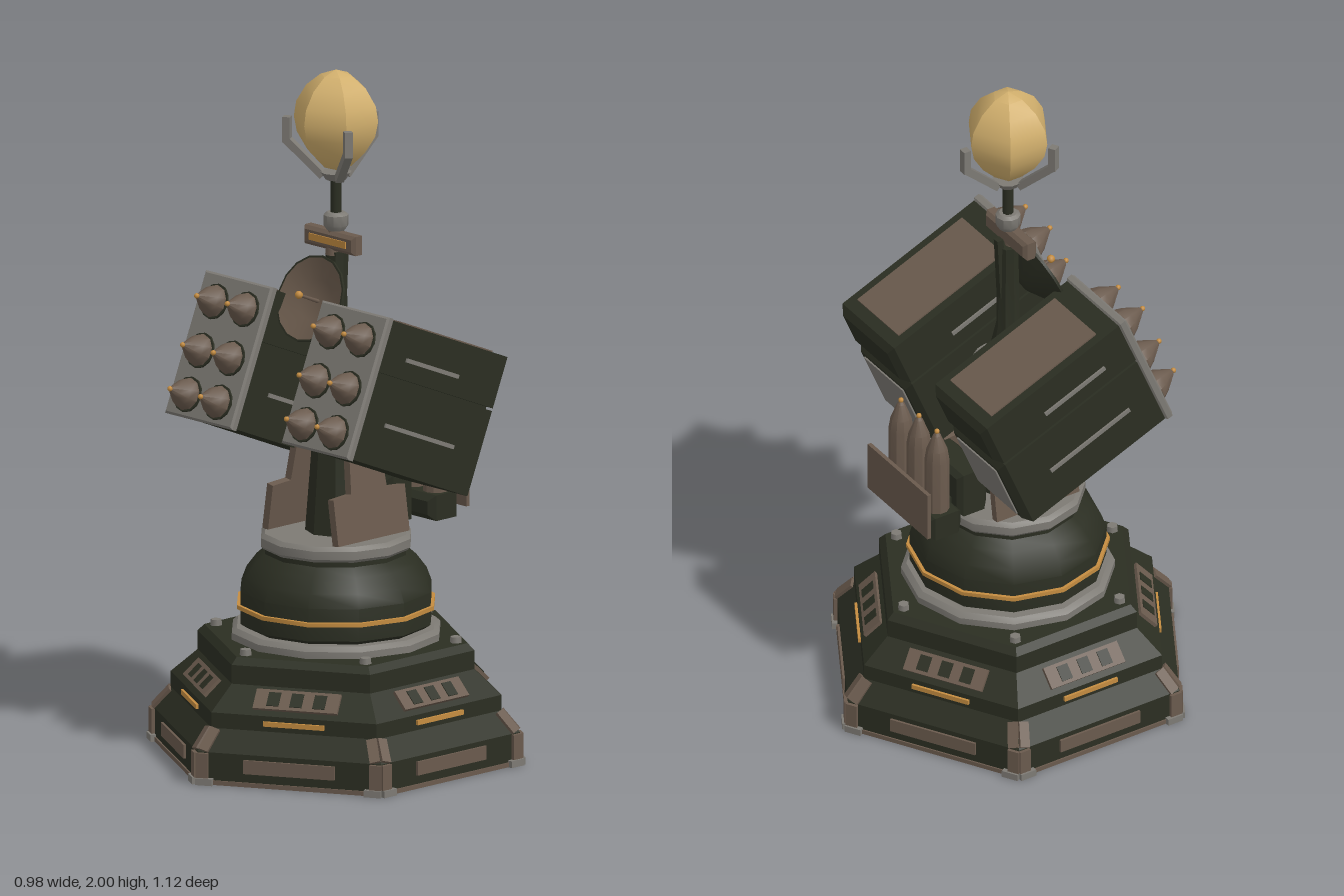
import * as THREE from 'three';
import { toCreasedNormals } from 'three/addons/utils/BufferGeometryUtils.js';

const paint = (name, color, side = THREE.FrontSide) =>
  Object.assign(new THREE.MeshStandardMaterial({ color, side }), { name });

const V = (x, y) => new THREE.Vector2(x, y);

export function createModel() {
  const olive = paint('dark olive', 0x2b2e22);
  const brown = paint('brown', 0x6a5a4d);
  const dishBrown = paint('dish brown', 0x6a5a4c, THREE.DoubleSide);
  const grey = paint('grey', 0x7d7a74);
  const amber = paint('amber', 0xc48c40);
  const gold = paint('gold', 0xd0ae6c);

  const model = new THREE.Group();
  model.name = 'missileTurret';

  const add = (parent, name, geo, mat, x = 0, y = 0, z = 0, rx = 0, ry = 0, rz = 0) => {
    const m = new THREE.Mesh(geo, mat);
    m.name = name;
    m.position.set(x, y, z);
    m.rotation.set(rx, ry, rz);
    parent.add(m);
    return m;
  };
  const group = (parent, name, x = 0, y = 0, z = 0) => {
    const g = new THREE.Group();
    g.name = name;
    g.position.set(x, y, z);
    parent.add(g);
    return g;
  };
  const box = (w, h, d) => new THREE.BoxGeometry(w, h, d);
  const lathe = (pts, sides) =>
    toCreasedNormals(new THREE.LatheGeometry(pts.map(p => V(...p)), sides), 0.6);
  // Box with chamfered edges, centred on its origin
  const chamferBox = (w, h, d, c) => {
    const a = w / 2 - c, b = h / 2 - c;
    const s = new THREE.Shape([V(-a, -b), V(a, -b), V(a, b), V(-a, b)]);
    return new THREE.ExtrudeGeometry(s, {
      depth: d - 2 * c, bevelThickness: c, bevelSize: c, bevelSegments: 1
    }).translate(0, 0, c - d / 2);
  };

  // Stepped hexagonal base
  const base = group(model, 'base');
  add(base, 'baseBody', lathe([[0, 0], [0.545, 0], [0.545, 0.095], [0.49, 0.155], [0.49, 0.2],
    [0.41, 0.27], [0.41, 0.325], [0.39, 0.345], [0, 0.345]], 6), olive);
  add(base, 'baseHem', lathe([[0, 0.001], [0.55, 0.001], [0.55, 0.014], [0.5, 0.014]], 6), brown);
  for (let k = 0; k < 6; k++) {
    const face = group(base, 'baseFace');
    face.rotation.y = Math.PI / 6 + k * Math.PI / 3;
    add(face, 'skirtPanel', box(0.27, 0.04, 0.012), brown, 0, 0.06, 0.473);
    add(face, 'lightStrip', box(0.18, 0.014, 0.012), amber, 0, 0.178, 0.426);
    const vent = group(face, 'vent', 0, 0.237, 0.389);
    vent.rotation.x = -Math.PI / 4;
    add(vent, 'ventFrame', box(0.25, 0.065, 0.018), brown);
    for (const x of [-0.068, 0, 0.068])
      add(vent, 'ventSlot', box(0.036, 0.045, 0.006), olive, x, 0, 0.0085);
    // Corner guards wrap the ends of each face
    for (const s of [-1, 1]) {
      add(face, 'cornerGuard', box(0.035, 0.085, 0.016), brown, s * 0.257, 0.05, 0.474);
      add(face, 'cornerBrace', box(0.03, 0.075, 0.014), brown, s * 0.243, 0.126, 0.45, -0.67, 0, s * 0.32);
      add(face, 'cornerFoot', box(0.05, 0.02, 0.024), grey, s * 0.25, 0.01, 0.476);
    }
    const a = k * Math.PI / 3;
    add(base, 'bolt', new THREE.CylinderGeometry(0.016, 0.018, 0.02, 6), grey,
      0.355 * Math.sin(a), 0.352, 0.355 * Math.cos(a));
  }

  // Rotating drum
  const drum = group(model, 'drum');
  add(drum, 'lowerCollar', lathe([[0.29, 0.34], [0.305, 0.345], [0.305, 0.365], [0.29, 0.378], [0.2, 0.378]], 12), grey);
  add(drum, 'drumBody', lathe([[0.25, 0.37], [0.28, 0.39], [0.28, 0.485], [0.265, 0.525], [0.235, 0.565],
    [0.207, 0.59], [0.207, 0.62]], 12), olive);
  add(drum, 'drumStripe', lathe([[0.27, 0.434], [0.29, 0.434], [0.29, 0.446], [0.27, 0.446]], 12), amber);
  add(drum, 'upperCollar', lathe([[0.2, 0.605], [0.212, 0.605], [0.22, 0.614], [0.22, 0.638], [0.208, 0.65], [0, 0.65]], 12), grey);

  // Central pylon and mast
  add(model, 'pylon', lathe([[0.088, 0.65], [0.078, 0.78], [0.06, 1.02], [0.06, 1.08], [0.034, 1.2],
    [0.03, 1.47], [0, 1.47]], 8), olive);
  add(model, 'mastFin', box(0.02, 0.2, 0.02), olive, 0, 1.4, -0.027, -0.05);
  add(model, 'mastCap', new THREE.CylinderGeometry(0.014, 0.022, 0.08, 8), brown, 0, 1.5, 0.012);

  // Yoke cheeks with trunnion
  const cheek = new THREE.Shape([V(-0.14, 0.65), V(0.14, 0.65), V(0.14, 0.785), V(0.07, 0.79),
    V(0.05, 1.05), V(-0.05, 1.05), V(-0.07, 0.79), V(-0.14, 0.785)]);
  for (const s of [-1, 1]) {
    const c = new THREE.ExtrudeGeometry(cheek, { depth: 0.024, bevelEnabled: false });
    c.translate(0, -0.65, -0.012).rotateY(-Math.PI / 2);
    add(model, 'yokeCheek', c, brown, s * 0.145, 0.65, 0, 0, 0, s * 0.15);
  }
  add(model, 'trunnion', new THREE.CylinderGeometry(0.048, 0.048, 0.24, 12), grey, 0, 1.02, -0.01, 0, 0, Math.PI / 2);
  add(model, 'powerBox', chamferBox(0.18, 0.14, 0.1, 0.015), olive, 0, 0.73, -0.175);

  // Spare missile rack
  const missile = (parent, name, pts, x, y, z, rx, tipAt) => {
    const g = group(parent, name, x, y, z);
    g.rotation.x = rx;
    add(g, 'missileShell', lathe(pts, 10), brown);
    add(g, 'missileTip', new THREE.SphereGeometry(0.008, 8, 6), amber, 0, tipAt, 0);
  };
  const rack = group(model, 'spareRack');
  add(rack, 'rackTray', chamferBox(0.28, 0.075, 0.115, 0.018), olive, 0, 0.692, -0.3);
  add(rack, 'rackPlate', box(0.31, 0.15, 0.012), brown, 0, 0.757, -0.37);
  add(rack, 'rackArm', box(0.1, 0.04, 0.12), olive, 0, 0.69, -0.2);
  for (const x of [-0.093, 0, 0.093])
    missile(rack, 'spareMissile', [[0.036, 0], [0.036, 0.17], [0.03, 0.21], [0.012, 0.255], [0, 0.27]],
      x, 0.725, -0.303, 0, 0.268);

  // Pitched missile launchers
  for (const s of [-1, 1]) {
    const pod = group(model, s > 0 ? 'leftLauncher' : 'rightLauncher', s * 0.24, 1.175, 0.235);
    pod.rotation.x = -THREE.MathUtils.degToRad(22.5);
    add(pod, 'upperPod', chamferBox(0.268, 0.152, 0.525, 0.02), olive, 0, 0.13, -0.27);
    add(pod, 'lowerPod', chamferBox(0.268, 0.252, 0.525, 0.02), olive, 0, -0.08, -0.27);
    add(pod, 'podCore', box(0.22, 0.34, 0.48), olive, 0, 0, -0.27);
    add(pod, 'facePlate', chamferBox(0.277, 0.422, 0.028, 0.006), grey, 0, 0, -0.014);
    add(pod, 'topPanel', box(0.212, 0.009, 0.386), brown, 0, 0.2065, -0.283);
    add(pod, 'rearPanel', box(0.2, 0.19, 0.008), grey, 0, -0.08, -0.533);
    for (const side of [-1, 1]) {
      add(pod, 'upperRail', box(0.012, 0.012, 0.22), grey, side * 0.134, 0.11, -0.23);
      add(pod, 'lowerRail', box(0.012, 0.012, 0.29), grey, side * 0.134, -0.085, -0.255);
    }
    for (const x of [-0.063, 0.063])
      for (const y of [0.13, -0.015, -0.145]) {
        add(pod, 'tubeRim', new THREE.CylinderGeometry(0.052, 0.052, 0.008, 12), olive, x, y, 0.002, Math.PI / 2);
        missile(pod, 'missile', [[0.047, 0], [0.047, 0.012], [0.038, 0.032], [0.022, 0.055], [0.01, 0.072], [0, 0.08]],
          x, y, 0, Math.PI / 2, 0.079);
      }
  }

  // Tracking dish
  const dish = group(model, 'dish', 0, 1.33, 0.065);
  dish.rotation.x = THREE.MathUtils.degToRad(67);
  add(dish, 'dishBowl', lathe([[0, 0.005], [0.06, 0.014], [0.125, 0.04]], 16), dishBrown);
  add(dish, 'dishBack', lathe([[0, -0.025], [0.035, -0.02], [0.128, 0.034], [0.128, 0.042], [0.122, 0.042]], 16), olive);
  add(dish, 'dishFeed', new THREE.CylinderGeometry(0.004, 0.006, 0.08, 6), brown, 0, 0.045, 0);
  add(dish, 'dishTip', new THREE.SphereGeometry(0.012, 8, 6), amber, 0, 0.088, 0);

  // Sensor bar
  add(model, 'sensorBar', chamferBox(0.21, 0.056, 0.045, 0.01), brown, 0, 1.503, 0.01);
  add(model, 'sensorLight', box(0.15, 0.02, 0.006), amber, 0, 1.503, 0.033);

  // Orb holder with three prongs
  const holder = group(model, 'orbHolder');
  add(holder, 'holderCollar', lathe([[0, 1.53], [0.026, 1.53], [0.036, 1.545], [0.036, 1.575], [0.026, 1.583], [0, 1.583]], 10), grey);
  add(holder, 'holderRod', new THREE.CylinderGeometry(0.016, 0.016, 0.11, 8), olive, 0, 1.63, 0);
  add(holder, 'holderCup', new THREE.CylinderGeometry(0.045, 0.03, 0.022, 10), grey, 0, 1.69, 0);
  for (let k = 0; k < 3; k++) {
    const prong = group(holder, 'prong');
    prong.rotation.y = Math.PI / 3 + k * Math.PI * 2 / 3;
    add(prong, 'prongArm', box(0.024, 0.022, 0.15), grey, 0, 1.737, 0.093, -0.74);
    add(prong, 'prongTip', box(0.024, 0.075, 0.022), grey, 0, 1.815, 0.145);
  }

  // Faceted golden orb
  add(model, 'orb', lathe([[0, 1.705], [0.045, 1.72], [0.085, 1.76], [0.116, 1.81], [0.125, 1.855],
    [0.118, 1.9], [0.088, 1.95], [0.045, 1.985], [0, 2]], 6), gold);

  return model;
}
